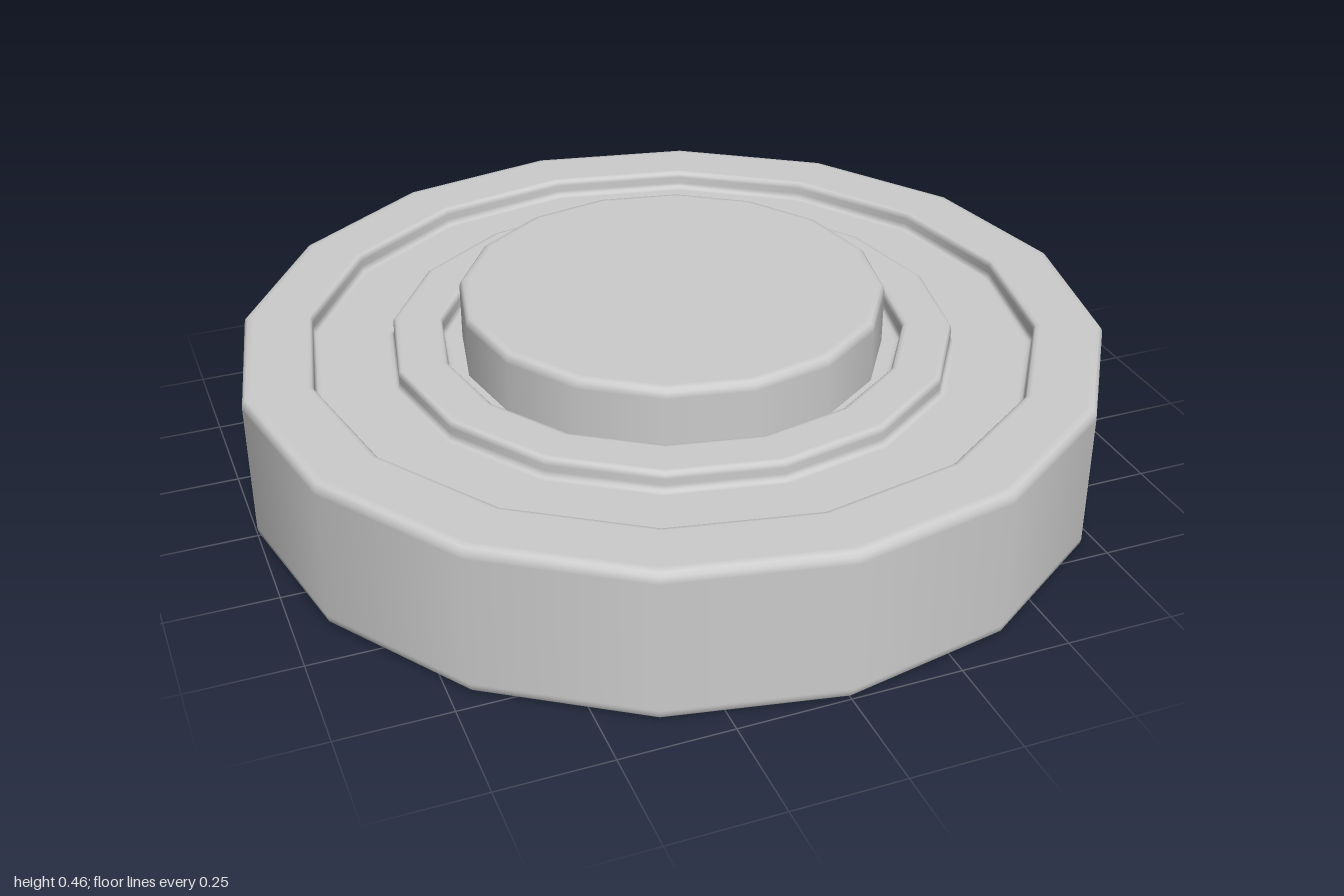
import * as THREE from 'three';

// Rounds each inner corner of a profile and adds tight support points, so flat areas stay flat.
function softProfile(corners) {
  const pts = [];
  corners.forEach(([x, y, r], i) => {
    const p = new THREE.Vector2(x, y);
    if (!r) { pts.push(p); return; }
    const toward = (q, d) => new THREE.Vector2(q[0], q[1]).sub(p).setLength(d).add(p);
    const a = toward(corners[i - 1], r), b = toward(corners[i + 1], r);
    pts.push(toward(corners[i - 1], r * 1.25));
    pts.push(...new THREE.QuadraticBezierCurve(a, p, b).getPoints(3));
    pts.push(toward(corners[i + 1], r * 1.25));
  });
  return pts;
}

export function createModel() {
  const group = new THREE.Group();
  const material = new THREE.MeshStandardMaterial({ color: 0xcccccc });
  const sides = 16;
  const rim = 0.355, floor = 0.31, top = 0.457;

  const addTurned = (name, corners) => {
    const mesh = new THREE.Mesh(new THREE.LatheGeometry(softProfile(corners), sides), material);
    mesh.name = name;
    group.add(mesh);
  };

  // Wide base with a broad groove, a raised ring and a narrow gap around the button
  addTurned('base', [
    [0, 0, 0],
    [1, 0, 0.02],
    [1, rim, 0.02],
    [0.84, rim, 0.012],
    [0.84, floor, 0.012],
    [0.65, floor, 0.012],
    [0.65, rim, 0.012],
    [0.535, rim, 0.012],
    [0.535, floor, 0.012],
    [0.45, floor, 0],
  ]);

  // Raised central button
  addTurned('button', [
    [0.49, floor - 0.01, 0],
    [0.49, top, 0.018],
    [0, top, 0],
  ]);

  return group;
}
